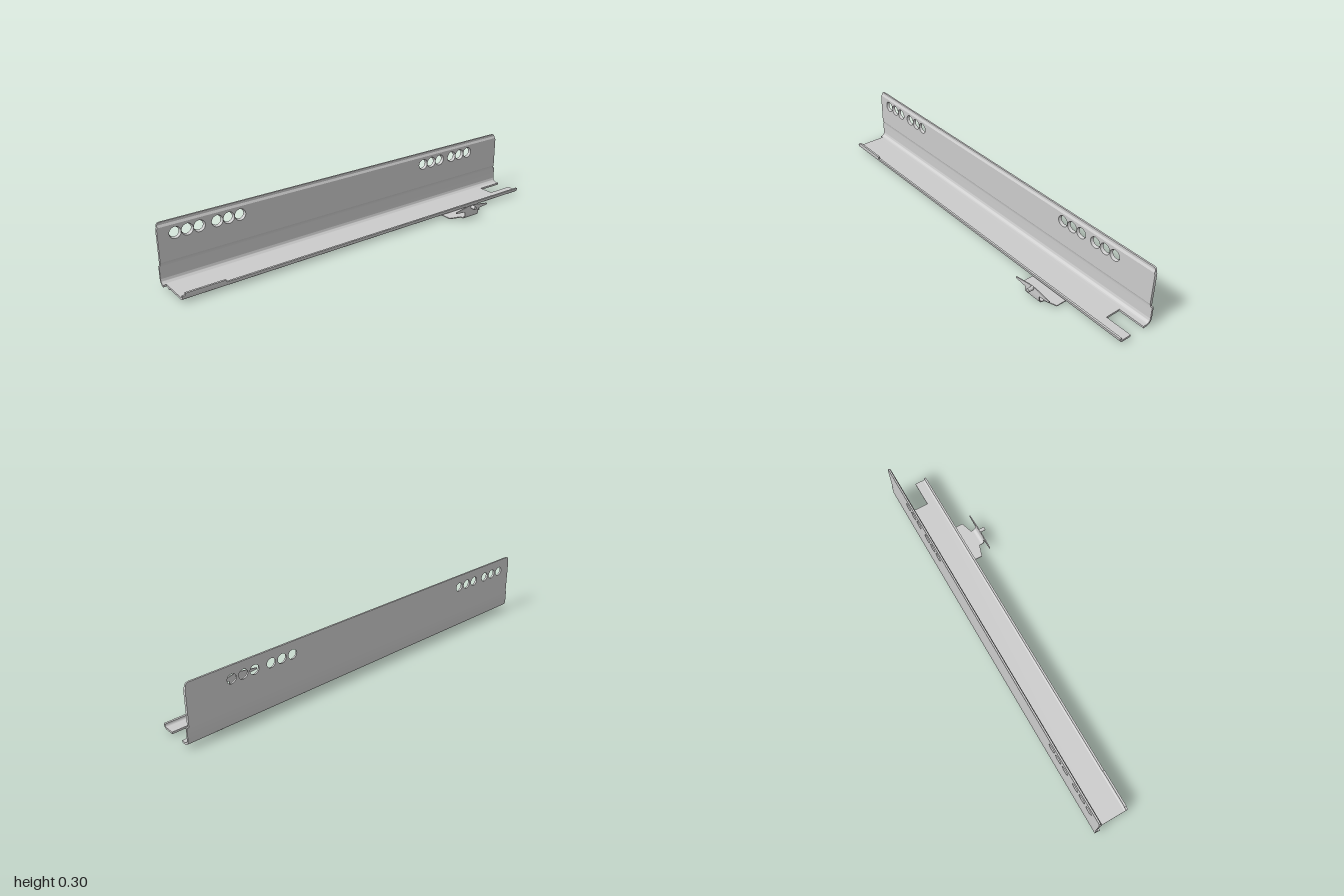
import * as THREE from 'three';
import { toCreasedNormals } from 'three/addons/utils/BufferGeometryUtils.js';

const material = new THREE.MeshStandardMaterial({ color: 0xcccccc });
const PI = Math.PI;

function polygon(points) {
  return new THREE.Shape(points.map(([a, b]) => new THREE.Vector2(a, b)));
}

function extrude(shape, depth) {
  return new THREE.ExtrudeGeometry(shape, { depth, bevelEnabled: false, curveSegments: 12 });
}

// Cross-section (x, y) swept from z0 to z1
function alongZ(shape, z0, z1) {
  return extrude(shape, z1 - z0).translate(0, 0, z0);
}

// Side outline (-z, y) given thickness from x0 to x1
function alongX(shape, x0, x1) {
  return extrude(shape, x1 - x0).rotateY(PI / 2).translate(x0, 0, 0);
}

// Plan outline (x, -z) given thickness from y0 to y1
function alongY(shape, y0, y1) {
  return extrude(shape, y1 - y0).rotateX(-PI / 2).translate(0, y0, 0);
}

export function createModel() {
  const model = new THREE.Group();
  model.name = 'mountingRail';

  function add(name, geometry, parent = model) {
    const mesh = new THREE.Mesh(toCreasedNormals(geometry, 0.5), material);
    mesh.name = name;
    parent.add(mesh);
    return mesh;
  }

  // Side wall: lower part with the bend into the floor
  const bend = new THREE.Shape();
  bend.moveTo(-0.153, 0.1);
  bend.lineTo(-0.153, 0.04);
  bend.absarc(-0.123, 0.04, 0.03, PI, 1.5 * PI, false);
  bend.lineTo(-0.105, 0.01);
  bend.lineTo(-0.105, 0.02);
  bend.lineTo(-0.123, 0.02);
  bend.absarc(-0.123, 0.041, 0.021, 1.5 * PI, PI, true);
  bend.lineTo(-0.144, 0.1);
  add('wallBend', alongZ(bend, -1, 0.985));
  const bendEnd = new THREE.Shape();
  bendEnd.moveTo(-0.153, 0.1);
  bendEnd.lineTo(-0.153, 0.04);
  bendEnd.absarc(-0.123, 0.04, 0.03, PI, 1.5 * PI, false);
  bendEnd.lineTo(-0.123, 0.02);
  bendEnd.absarc(-0.123, 0.041, 0.021, 1.5 * PI, PI, true);
  bendEnd.lineTo(-0.144, 0.1);
  add('wallBendFront', alongZ(bendEnd, 0.985, 1));

  // Sloped steps from the thin wall to the thicker panel
  const zBack = -0.99, zFront = 0.995;
  add('lowerStep', alongZ(polygon([
    [-0.153, 0.1], [-0.144, 0.1], [-0.144, 0.105], [-0.139, 0.117], [-0.153, 0.117],
  ]), zBack, zFront));
  add('upperStep', alongZ(polygon([
    [-0.153, 0.278], [-0.139, 0.278], [-0.145, 0.288], [-0.153, 0.288],
  ]), zBack + 0.004, zFront - 0.004));

  // Thin top edge with softened corners
  const top = new THREE.Shape();
  top.moveTo(-zFront + 0.004, 0.288);
  top.lineTo(-zBack - 0.004, 0.288);
  top.quadraticCurveTo(-zBack - 0.006, 0.3, -zBack - 0.022, 0.3);
  top.lineTo(-zFront + 0.022, 0.3);
  top.quadraticCurveTo(-zFront + 0.006, 0.3, -zFront + 0.004, 0.288);
  add('topEdge', alongX(top, -0.153, -0.145));

  // Panel with two rows of six countersunk holes
  const panel = polygon([
    [-zFront, 0.117], [-zBack, 0.117], [-zBack, 0.27], [-zBack - 0.004, 0.278],
    [-zFront + 0.004, 0.278], [-zFront, 0.27],
  ]);
  const holeY = 0.238;
  const holeZ = [];
  for (const start of [0.915, -0.466]) {
    for (const group of [0, 0.198]) {
      for (let i = 0; i < 3; i++) holeZ.push(start - group - i * 0.0565);
    }
  }
  for (const z of holeZ) {
    const hole = new THREE.Path();
    hole.absarc(-z, holeY, 0.0275, 0, 2 * PI, true);
    panel.holes.push(hole);
  }
  const panelGeometry = alongX(panel, -0.153, -0.139);
  const p = panelGeometry.attributes.position;
  for (let i = 0; i < p.count; i++) {
    if (p.getX(i) > -0.15) continue;
    const z = holeZ.find((c) => Math.hypot(p.getZ(i) - c, p.getY(i) - holeY) < 0.0278);
    if (z === undefined) continue;
    p.setY(i, holeY + (p.getY(i) - holeY) * 0.82);
    p.setZ(i, z + (p.getZ(i) - z) * 0.82);
  }
  add('wallPanel', panelGeometry);

  // Floor with the notch at the back
  add('floor', alongY(polygon([
    [-0.105, -0.985], [0.018, -0.985], [0.018, 1], [-0.027, 1],
    [-0.027, 0.865], [-0.105, 0.865],
  ]), 0.01, 0.02));

  // Turned-up lip, taller near the front
  const lip = new THREE.Shape();
  lip.moveTo(0.018, 0.01);
  lip.absarc(0.018, 0.028, 0.018, 1.5 * PI, 2 * PI, false);
  lip.lineTo(0.036, 0.033);
  lip.lineTo(0.026, 0.033);
  lip.absarc(0.018, 0.028, 0.008, 0, 1.5 * PI, true);
  add('lip', alongZ(lip, -1, 0.985));
  add('lipRaised', alongZ(polygon([
    [0.026, 0.033], [0.036, 0.033], [0.036, 0.043], [0.026, 0.043],
  ]), 0.78, 0.97));

  // Pegs under the floor
  for (const z of [0.97, -0.825]) {
    add('peg', new THREE.CylinderGeometry(0.012, 0.012, 0.014, 20).translate(-0.109, 0.007, z));
  }

  // Spring clip beneath the floor
  const clip = new THREE.Group();
  clip.name = 'clip';
  clip.position.z = -0.57;
  model.add(clip);
  add('clipPlate', alongY(polygon([
    [-0.031, -0.05], [0.005, -0.106], [0.078, -0.106], [0.097, -0.046], [0.105, -0.046],
    [0.105, 0.046], [0.097, 0.046], [0.078, 0.106], [0.005, 0.106], [-0.031, 0.05],
  ]), 0.005, 0.01), clip);

  const curl = new THREE.Shape();
  curl.moveTo(0.105, 0.005);
  curl.absarc(0.105, 0.027, 0.022, 1.5 * PI, 2 * PI, false);
  curl.lineTo(0.127, 0.045);
  curl.lineTo(0.122, 0.045);
  curl.absarc(0.105, 0.027, 0.017, 0, 1.5 * PI, true);
  add('clipBend', alongZ(curl, -0.046, 0.046), clip);

  add('clipWings', alongX(polygon([
    [-0.046, 0.045], [0.046, 0.045], [0.106, 0.051], [0.106, 0.058], [0.05, 0.067],
    [0.02, 0.072], [-0.02, 0.072], [-0.05, 0.067], [-0.106, 0.058], [-0.106, 0.051],
  ]), 0.122, 0.127), clip);

  add('clipPin', new THREE.CylinderGeometry(0.009, 0.009, 0.031, 20)
    .rotateZ(PI / 2).translate(0.1375, 0.063, 0), clip);

  return model;
}
